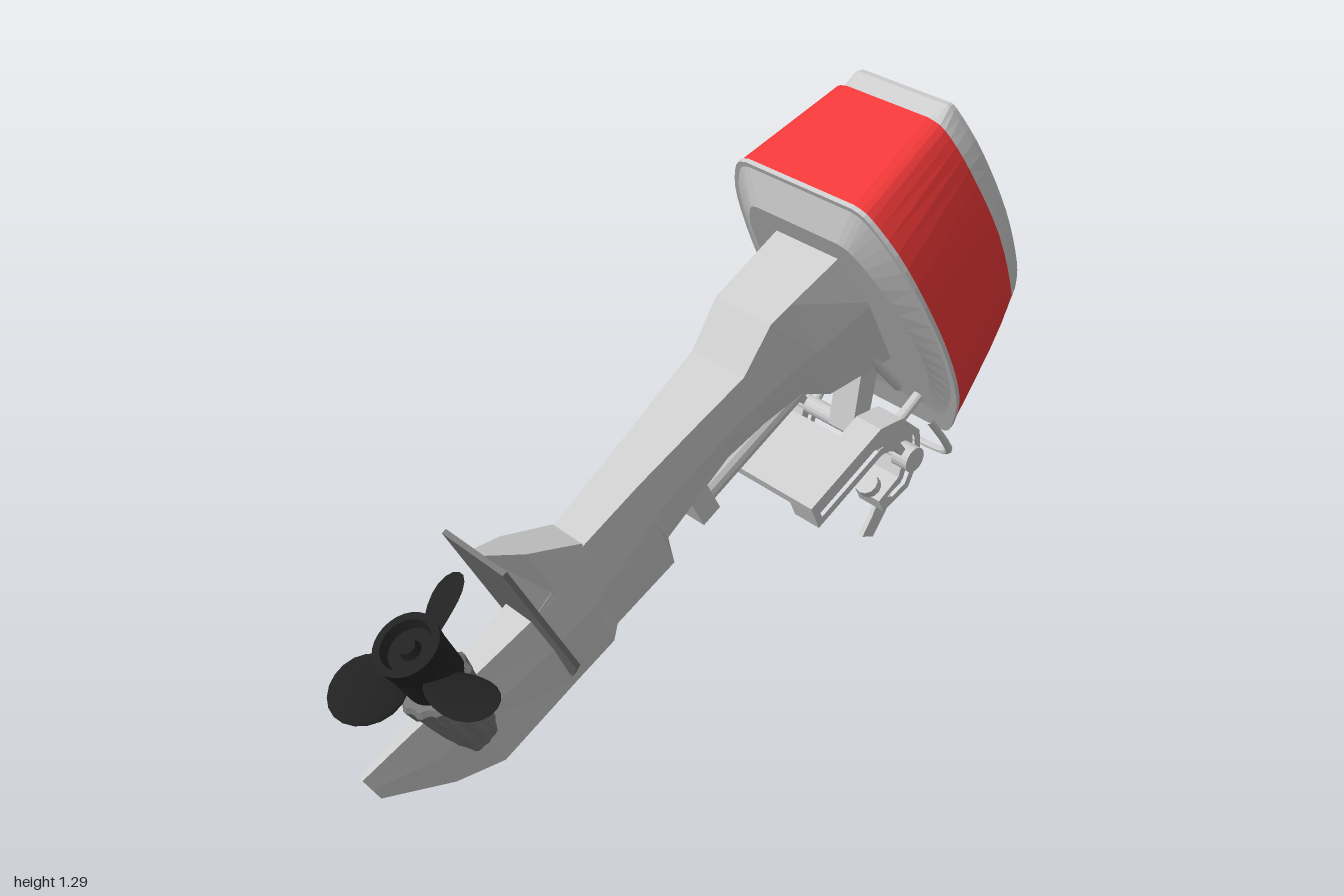
import * as THREE from 'three';

const mat = (color) => new THREE.MeshStandardMaterial({ color, flatShading: true });
const grey = mat(0xcccccc), red = mat(0xf03838), black = mat(0x222222), dark = mat(0x777777);
const TILT = THREE.MathUtils.degToRad(27);

function add(parent, name, geo, material = grey) {
  const m = new THREE.Mesh(geo, material);
  m.name = name;
  parent.add(m);
  return m;
}

// Skin a list of equal-length rings; capped at both ends, or joined last to first.
function loft(rings, loop = false) {
  const pos = [], n = rings[0].length;
  const tri = (a, b, c) => pos.push(...a, ...b, ...c);
  const last = loop ? rings.length : rings.length - 1;
  for (let i = 0; i < last; i++) {
    const a = rings[i], b = rings[(i + 1) % rings.length];
    for (let j = 0; j < n; j++) {
      const k = (j + 1) % n;
      tri(a[j], a[k], b[k]);
      tri(a[j], b[k], b[j]);
    }
  }
  if (!loop) {
    const cap = (r, flip) => {
      const c = [0, 1, 2].map((d) => r.reduce((s, p) => s + p[d], 0) / n);
      for (let j = 0; j < n; j++) {
        const k = (j + 1) % n;
        if (flip) tri(c, r[k], r[j]); else tri(c, r[j], r[k]);
      }
    };
    cap(rings[0], true);
    cap(rings[rings.length - 1], false);
  }
  // Turn the faces outward if the enclosed volume is negative
  let vol = 0;
  const v = (i) => new THREE.Vector3(pos[i], pos[i + 1], pos[i + 2]);
  for (let i = 0; i < pos.length; i += 9) vol += v(i).dot(v(i + 3).cross(v(i + 6)));
  if (vol < 0) {
    for (let i = 0; i < pos.length; i += 9) {
      for (let d = 0; d < 3; d++) [pos[i + 3 + d], pos[i + 6 + d]] = [pos[i + 6 + d], pos[i + 3 + d]];
    }
  }
  const g = new THREE.BufferGeometry();
  g.setAttribute('position', new THREE.Float32BufferAttribute(pos, 3));
  g.computeVertexNormals();
  return g;
}

const mirror = (half) => [...half, ...half.slice().reverse().map(([x, y, z]) => [x, y, -z])];
const shapeOf = (points) => new THREE.Shape(points.map((p) => new THREE.Vector2(...p)));

// Side profile extruded symmetrically about z
function slab(shape, width, z = 0) {
  return new THREE.ExtrudeGeometry(shape, { depth: width, bevelEnabled: false }).translate(0, 0, z - width / 2);
}

function rod(a, b, r, sides = 12) {
  const A = new THREE.Vector3(...a), B = new THREE.Vector3(...b);
  const dir = B.clone().sub(A), g = new THREE.CylinderGeometry(r, r, dir.length(), sides);
  g.applyQuaternion(new THREE.Quaternion().setFromUnitVectors(new THREE.Vector3(0, 1, 0), dir.normalize()));
  return g.translate(...A.add(B).multiplyScalar(0.5).toArray());
}

// Cowling, lofted along the tilted shaft direction x from smoothed half outlines
function buildCowling(parent) {
  const smooth = (pts) => new THREE.SplineCurve(pts.map((p) => new THREE.Vector2(...p))).getPoints(24).map((p) => [p.x, p.y]);
  const base = smooth([[.89, .165], [.86, .21], [.72, .268], [.47, .3], [.25, .282], [.08, .215], [.04, .18]]);
  const top = smooth([[.86, .125], [.835, .17], [.72, .21], [.5, .24], [.255, .215], [.13, .165], [.11, .14]]);
  const crown = smooth([[.845, .125], [.83, .15], [.7, .19], [.5, .208], [.3, .19], [.18, .155], [.16, .14]]);
  // The red shell is full height along the sides and drops to a thin band in front
  const rise = (j) => (j <= 16 ? 1 : j <= 20 ? 1 - .75 * (j - 16) / 4 : .25 - .2 * (j - 20) / 4);
  const S0 = .822, S1 = 1.13;
  const inset = ([y, z], k) => [.47 + (y - .47) * k, z * k];
  const flat = (pts, s, k = 1) => mirror(pts.map((p) => [s, ...inset(p, k)]));
  const shellRing = (k, f) => mirror(base.map((b, j) => {
    const t = rise(j) * f;
    return [S0 + (S1 - S0) * t, ...inset([b[0] + (top[j][0] - b[0]) * t, b[1] + (top[j][1] - b[1]) * t], k)];
  }));
  add(parent, 'cowlingRedShell', loft([shellRing(1, 0), shellRing(1, 1), shellRing(.95, 1), shellRing(.95, 0)], true), red);
  add(parent, 'cowlingInnerCover', loft([
    flat(base, S0, .97), flat(top, S1, .97), flat(crown, 1.185, 1.02), flat(crown, 1.2, 1), flat(crown, 1.206, .96)]));
  add(parent, 'cowlingRim', loft([flat(base, S0 - .01, 1.005), flat(base, S0 + .002, 1.005)]));
  // Shallow pan, deeper toward the back
  const pan = mirror(base.map((p) => {
    const [y, z] = inset(p, .78);
    return [.812 - .045 * (y - .13) / .67, y, z];
  }));
  add(parent, 'cowlingPan', loft([pan, flat(base, S0 - .008, .98)]));
}

function buildLeg(parent) {
  // station, top, middle, bottom, half widths at top, middle, bottom
  const sections = [
    [-.805, .623, .58, .534, .006, .01, .006],
    [-.664, .617, .5, .372, .015, .025, .008],
    [-.55, .61, .5, .286, .025, .035, .008],
    [-.3, .605, .48, .28, .045, .05, .008],
    [-.172, .64, .48, .28, .05, .055, .012],
    [-.141, .655, .49, .319, .05, .055, .015],
    [.06, .664, .54, .317, .06, .065, .02],
    [.07, .664, .55, .44, .06, .065, .05],
    [.3, .67, .57, .485, .076, .08, .06],
    [.421, .672, .57, .48, .085, .09, .07],
    [.542, .734, .57, .46, .09, .1, .08],
    [.61, .732, .56, .38, .092, .11, .085],
    [.8, .723, .55, .31, .1, .13, .1]];
  add(parent, 'legAndSkeg', loft(sections.map(([s, t, m, b, wt, wm, wb]) =>
    mirror([[s, t, wt], [s, m, wm], [s, b, wb]]))));

  // Flat plate above the propeller and its stiffening fin
  const half = [[.855, .105], [.45, .11], [.335, .03]];
  const ring = (s) => mirror(half.map(([y, z]) => [s, y, z]));
  add(parent, 'cavitationPlate', loft([ring(-.308), ring(-.295)]), dark);
  add(parent, 'plateFin', loft([
    mirror([[-.3, .85, .015], [-.3, .6, .045]]),
    mirror([[-.225, .776, .045], [-.225, .6, .05]]),
    mirror([[-.11, .664, .05], [-.11, .6, .055]])]));

  // Tilt tube under the leg
  add(parent, 'tiltTube', rod([.19, .4, 0], [.65, .4, 0], .037, 16));
  add(parent, 'tiltTubeEnd', new THREE.BoxGeometry(.06, .12, .09).translate(.195, .42, 0));
}

function buildPropeller(parent) {
  const S = -.55;
  // Ribbed gear case, pinched sideways toward its lower end: height, radius along x, radius along z
  const ribs = [[.392, .045, .018], [.41, .056, .032], [.5, .068, .062], [.6, .083, .085], [.66, .09, .09], [.672, .08, .08]]
    .map(([t, rx, rz]) => Array.from({ length: 48 }, (_, i) => {
      const a = i / 48 * Math.PI * 2, k = i % 4 < 2 ? 1 : .93;
      return [S + Math.cos(a) * rx * k, t, Math.sin(a) * rz * k];
    }));
  add(parent, 'gearCase', loft(ribs), dark);

  const prop = new THREE.Group();
  prop.name = 'propeller';
  prop.position.set(S + .01, .73, 0);
  parent.add(prop);
  const hub = [[0, -.07], [.07, -.07], [.074, .03], [.08, .085], [.062, .085], [.055, .06], [.025, .06], [.02, .08], [0, .08]];
  add(prop, 'propellerHub', new THREE.LatheGeometry(hub.map((p) => new THREE.Vector2(...p)), 28), black);

  // Thin oval blade along z, twisted more steeply near the hub
  const blade = new THREE.SphereGeometry(1, 20, 14).scale(.075, .007, .095).translate(0, 0, .135);
  const p = blade.attributes.position;
  for (let i = 0; i < p.count; i++) {
    const a = 2 * p.getZ(i) - .85, x = p.getX(i), y = p.getY(i);
    p.setXY(i, x * Math.cos(a) - y * Math.sin(a), x * Math.sin(a) + y * Math.cos(a));
  }
  blade.computeVertexNormals();
  for (let i = 0; i < 3; i++) add(prop, 'propellerBlade', blade, black).rotation.y = i * Math.PI * 2 / 3;
}

function buildMount(parent) {
  const hook = [[.18, .43], [.42, .55], [.5, .545], [.57, .48], [.58, .4], [.54, .32], [.45, .29],
    [.43, .33], [.5, .37], [.515, .42], [.48, .465], [.43, .47], [.21, .36]];
  const recess = [[.205, .42], [.425, .53], [.492, .525], [.55, .472], [.56, .405], [.527, .338], [.46, .312],
    [.455, .325], [.518, .358], [.535, .425], [.49, .485], [.425, .49], [.22, .388]];
  const paddle = [[.47, .3], [.52, .285], [.5, .25], [.455, .19], [.415, .21], [.45, .26]];
  const flange = shapeOf(hook);
  flange.holes.push(new THREE.Path(recess.map((p) => new THREE.Vector2(...p))));
  for (const side of [1, -1]) {
    const z = side * .17;
    add(parent, 'clampFlange', slab(flange, .08, z));
    add(parent, 'clampWeb', slab(shapeOf(hook), .03, z));
    add(parent, 'clampScrew', rod([.43, .36, z], [.5, .27, z], .011));
    add(parent, 'clampPad', rod([.425, .37, z], [.44, .35, z], .03));
    add(parent, 'clampScrewHandle', slab(shapeOf(paddle), .013, z));
    add(parent, 'swivelStrut', rod([.5, .67, side * .09], [.61, .54, side * .1], .012));
    add(parent, 'pivotStrut', rod([.535, .415, side * .12], [.66, .53, side * .14], .014));
    add(parent, 'pivotCap', rod([.535, .415, side * .18], [.535, .415, side * .23], .034, 20));
  }
  add(parent, 'transomPlate', slab(shapeOf([[.18, .43], [.36, .52], [.37, .495], [.19, .405]]), .42));
  add(parent, 'pivotShaft', rod([.535, .415, -.2], [.535, .415, .2], .024, 16));
  add(parent, 'swivelBracket', slab(shapeOf([[.54, .62], [.6, .58], [.57, .42], [.51, .41]]), .08));

  // U-shaped carrying handle
  const side = [[.62, .48, .2], [.69, .385, .2], [.72, .34, .19], [.73, .32, .15]];
  const path = new THREE.CatmullRomCurve3(mirror(side).map((q) => new THREE.Vector3(...q)), false, 'centripetal');
  add(parent, 'carryHandle', new THREE.TubeGeometry(path, 60, .01, 8));
}

// Starter pull on the sloping front of the cowling
function buildStarter(parent) {
  const g = new THREE.Group();
  g.name = 'starterPull';
  g.position.set(.935, .612, 0);
  g.rotation.z = .71;
  parent.add(g);
  add(g, 'starterRecess', new THREE.BoxGeometry(.1, .008, .13));
  add(g, 'starterStem', rod([0, 0, 0], [0, -.03, 0], .012));
  add(g, 'starterGrip', new THREE.BoxGeometry(.02, .05, .13).translate(0, -.045, 0), black);
}

export function createModel() {
  const root = new THREE.Group();
  root.name = 'outboardMotor';
  const tilted = new THREE.Group();
  tilted.name = 'tiltedMotor';
  tilted.rotation.z = TILT;
  root.add(tilted);
  buildCowling(tilted);
  buildLeg(tilted);
  buildPropeller(tilted);
  buildMount(root);
  buildStarter(root);
  return root;
}
